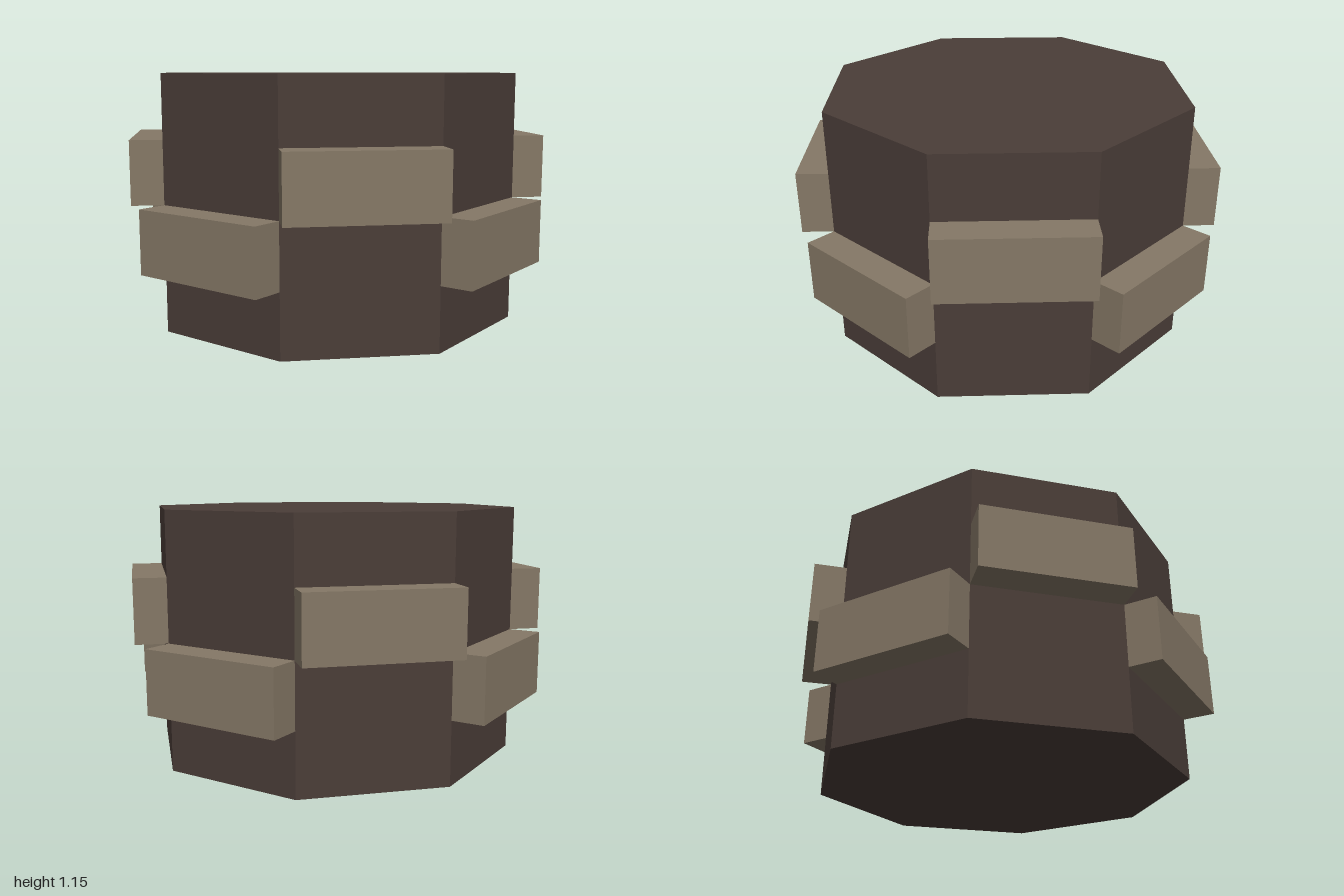
import * as THREE from 'three';

export function createModel() {
  const model = new THREE.Group();
  model.name = 'studdedDrum';

  const darkBrown = new THREE.MeshStandardMaterial({ color: 0x4a3d38 });
  darkBrown.name = 'darkBrown';
  darkBrown.flatShading = true;
  const tan = new THREE.MeshStandardMaterial({ color: 0x857866 });
  tan.name = 'tan';

  const sides = 8, radius = 0.866, height = 1.155;
  const half = Math.PI / sides;
  const apothem = radius * Math.cos(half);
  const edge = 2 * radius * Math.sin(half);
  const depth = 0.144, blockHeight = height / 4;

  // Octagonal core with corners on the x and z axes
  const core = new THREE.Mesh(new THREE.CylinderGeometry(radius, radius, height, sides), darkBrown);
  core.name = 'core';
  core.position.y = height / 2;
  model.add(core);

  // One block per side, alternating upper and lower rows
  const blockGeometry = new THREE.BoxGeometry(edge, blockHeight, depth);
  for (let i = 0; i < sides; i++) {
    const angle = half * (2 * i + 1);
    const upper = i % 2 === 0;
    const block = new THREE.Mesh(blockGeometry, tan);
    block.name = upper ? 'upperBlock' : 'lowerBlock';
    const r = apothem + depth / 2;
    block.position.set(Math.sin(angle) * r, blockHeight * (upper ? 2.5 : 1.5), Math.cos(angle) * r);
    block.rotation.y = angle;
    model.add(block);
  }
  return model;
}
